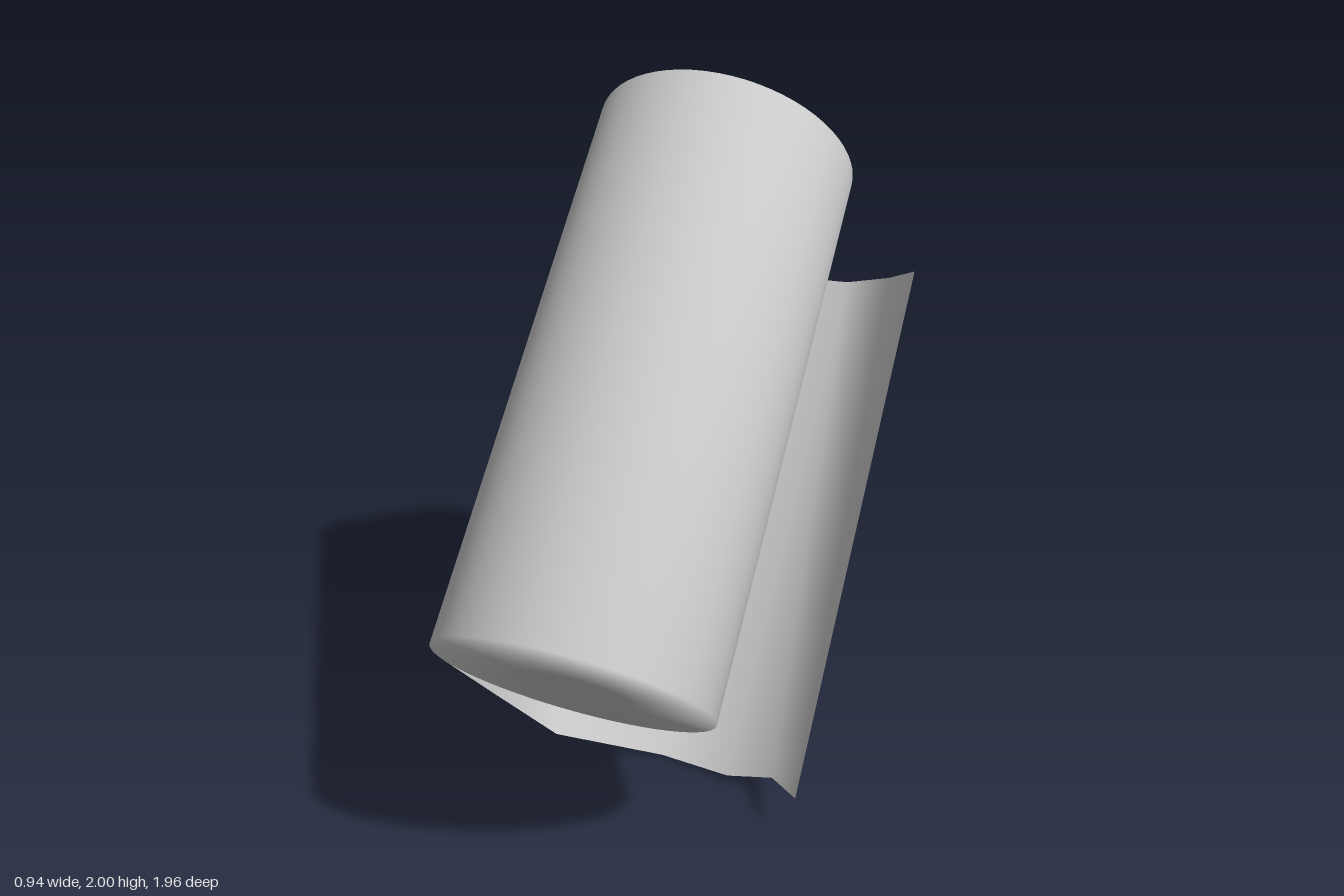
import * as THREE from 'three';

const R = 0.39, CORE = 0.15, HALF = 0.838;
const CORE_SHIFT = -0.034; // the core sits slightly below the roll's axis

export function createModel() {
  const model = new THREE.Group();
  const grey = new THREE.MeshStandardMaterial({ color: 0xcccccc, side: THREE.DoubleSide });

  // tilted group: local y runs along the roll, local -z towards the loose sheet
  const paperRoll = new THREE.Group();
  paperRoll.name = 'paperRoll';
  paperRoll.rotation.x = -0.777;
  paperRoll.position.set(-0.08, 1.115, 0.105);
  model.add(paperRoll);

  const add = (name, geometry) => {
    const mesh = new THREE.Mesh(geometry, grey);
    mesh.name = name;
    paperRoll.add(mesh);
    return mesh;
  };

  // wound body with ring-shaped ends, softly shaded over the rims
  const profile = [[CORE, -HALF], [R, -HALF], [R, HALF], [CORE, HALF]]
    .map(([r, y]) => new THREE.Vector2(r, y));
  const body = new THREE.LatheGeometry(profile, 64);
  const pos = body.attributes.position;
  for (let i = 0; i < pos.count; i++) {
    const inner = i % profile.length === 0 || i % profile.length === 3;
    pos.setZ(i, inner ? pos.getZ(i) + CORE_SHIFT : pos.getZ(i) * 1.05);
  }
  add('rollBody', body);

  // flat core discs closing both ends
  for (const side of [-1, 1]) {
    const disc = add(side > 0 ? 'upperCore' : 'lowerCore', new THREE.CircleGeometry(CORE, 64));
    disc.rotation.x = -side * Math.PI / 2;
    disc.position.set(0, side * HALF, CORE_SHIFT);
  }

  // loose sheet: leaves the roll's side, hangs under it and curls up at the free edge
  // each fold line: x, z, shift along the roll
  const folds = [
    [-0.39, 0, 0], [-0.39, -0.403, 0], [-0.25, -0.583, -0.046], [0.05, -0.714, -0.02],
    [0.28, -0.661, -0.046], [0.42, -0.636, -0.028], [0.545, -0.447, -0.097],
  ];
  const vertices = [], index = [];
  folds.forEach(([x, z, shift], i) => {
    vertices.push(x, shift - HALF, z, x, shift + HALF, z);
    const a = i * 2;
    if (i < folds.length - 1) index.push(a, a + 1, a + 2, a + 1, a + 3, a + 2);
  });
  const sheet = new THREE.BufferGeometry();
  sheet.setAttribute('position', new THREE.Float32BufferAttribute(vertices, 3));
  sheet.setIndex(index);
  sheet.computeVertexNormals();
  add('looseSheet', sheet);

  return model;
}
